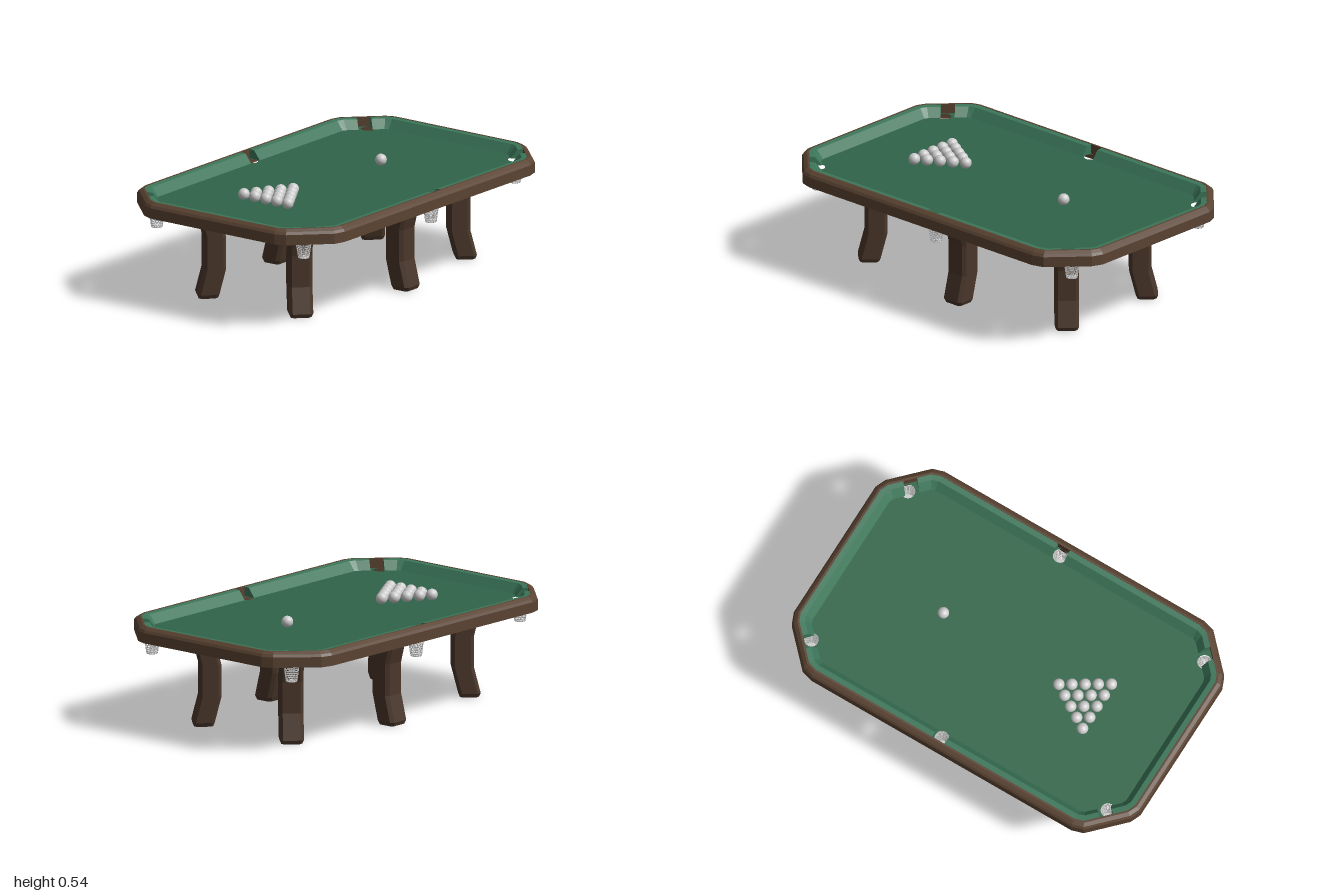
import * as THREE from 'three';
import { mergeGeometries } from 'three/addons/utils/BufferGeometryUtils.js';

const mat = (color, side = THREE.FrontSide, flatShading = true) =>
  new THREE.MeshStandardMaterial({ color, side, flatShading });
const V = (x, y, z) => new THREE.Vector3(x, y, z);

// Joins closed rings of points with quads; skipped spans are left open
function loft(rings, { skip = [], capEnds = false, extra = [] } = {}) {
  const pos = [];
  const tri = (a, b, c) => [a, b, c].forEach((p) => pos.push(p.x, p.y, p.z));
  const n = rings[0].length;
  for (let i = 0; i < rings.length - 1; i++) {
    for (let j = 0; j < n; j++) {
      if (skip.includes(j)) continue;
      const k = (j + 1) % n;
      const [a, b, c, d] = [rings[i][j], rings[i + 1][j], rings[i + 1][k], rings[i][k]];
      tri(a, b, c);
      tri(a, c, d);
    }
  }
  if (capEnds) {
    const lo = rings[0], hi = rings[rings.length - 1];
    for (let j = 1; j < n - 1; j++) {
      tri(lo[0], lo[j], lo[j + 1]);
      tri(hi[0], hi[j + 1], hi[j]);
    }
  }
  for (const poly of extra) {
    for (let j = 1; j < poly.length - 1; j++) tri(poly[0], poly[j], poly[j + 1]);
  }
  const g = new THREE.BufferGeometry();
  g.setAttribute('position', new THREE.Float32BufferAttribute(pos, 3));
  g.computeVertexNormals();
  return g;
}

// Table outline: one corner outside and at the cushion nose
const DEPTH = 0.095, MID = 0.04, HALF = 0.035;
const OUTER = [[1, 0.385], [0.977, 0.44], [0.81, 0.612], [0.75, 0.63]];
const INNER = [[0.905, 0.365], [0.895, 0.385], [0.765, 0.52], [0.745, 0.53]];
const NOTCHES = [2, 6, 10, 16, 20, 24];

// Ring of 28 points around the table, with extra points beside each pocket
function ring(inset, y) {
  const t = inset / DEPTH;
  const c = OUTER.map(([x, z], i) =>
    new THREE.Vector2(x, z).lerp(new THREE.Vector2(...INNER[i]), t));
  const f = HALF / c[1].distanceTo(c[2]);
  const corner = [c[0], c[1], c[1].clone().lerp(c[2], 0.5 - f), c[1].clone().lerp(c[2], 0.5 + f), c[2], c[3]];
  const quarter = (sx, sz) => {
    const q = corner.map((p) => V(sx * p.x, y, sz * p.y));
    return sx * sz > 0 ? q : q.reverse();
  };
  const z = c[3].y;
  return [
    ...quarter(1, 1), V(MID + HALF, y, z), V(MID - HALF, y, z),
    ...quarter(-1, 1), ...quarter(-1, -1),
    V(MID - HALF, y, -z), V(MID + HALF, y, -z), ...quarter(1, -1),
  ];
}

// Curved leg: chamfered square section that bows inward at mid height
function legGeometry() {
  const w = 0.06, d = 0.055, b = 0.016;
  const section = [[w, -d + b], [w, d - b], [w - b, d], [-w + b, d],
    [-w, d - b], [-w, -d + b], [-w + b, -d], [w - b, -d]];
  const levels = [[0, 0, 0.86], [0.02, 0, 1], [0.15, -0.033, 1], [0.31, -0.033, 1], [0.44, 0, 1]];
  const rings = levels.map(([y, bow, s]) => section.map(([x, z]) => V(x * s, y, z * s + bow)));
  return loft(rings, { capEnds: true });
}

// Tapered pocket net: hoops joined by staggered cords, with a closed bottom
function netGeometry() {
  const rows = 8, cords = 14, top = 0.455, bottom = 0.37;
  const radius = (t) => 0.039 - 0.012 * t;
  const height = (t) => top + (bottom - top) * t;
  const parts = [];
  for (let i = 0; i <= rows; i++) {
    const t = i / rows;
    parts.push(new THREE.TorusGeometry(radius(t), i ? 0.002 : 0.003, 4, 28)
      .rotateX(Math.PI / 2).translate(0, height(t), 0));
    if (i === rows) break;
    const u = (i + 1) / rows;
    for (let j = 0; j < cords; j++) {
      const a = ((j + (i % 2) / 2) / cords) * Math.PI * 2;
      const at = (s) => V(radius(s) * Math.cos(a), height(s), radius(s) * Math.sin(a));
      parts.push(new THREE.TubeGeometry(new THREE.LineCurve3(at(t), at(u)), 1, 0.002, 4));
    }
  }
  parts.push(new THREE.CylinderGeometry(0.026, 0.026, 0.003, 20).translate(0, bottom + 0.0015, 0));
  return mergeGeometries(parts);
}

export function createModel() {
  const model = new THREE.Group();
  const add = (name, geometry, material, x = 0, y = 0, z = 0, ry = 0) => {
    const m = new THREE.Mesh(geometry, material);
    m.name = name;
    m.position.set(x, y, z);
    m.rotation.y = ry;
    model.add(m);
    return m;
  };
  const wood = mat(0x5a4332);
  const legWood = mat(0x493629);
  const felt = mat(0x2f6549, THREE.DoubleSide);
  const cushionFelt = mat(0x3c7659, THREE.DoubleSide);
  const grey = mat(0xcccccc, THREE.FrontSide, false);

  const pockets = [];
  for (const s of [-1, 1]) {
    pockets.push([-0.855, s * 0.455], [MID, s * 0.558], [0.855, s * 0.455]);
  }

  // Wooden rail
  const rail = [[0, 0.455], [0, 0.507], [0.008, 0.52], [0.025, 0.532], [0.035, 0.532], [0.035, 0.455], [0, 0.455]];
  add('rail', loft(rail.map(([i, y]) => ring(i, y))), wood);

  // Sloped cushions, open at the pockets and closed at their ends
  const cushion = [[0.035, 0.531], [0.062, 0.529], [DEPTH, 0.484], [0.035, 0.484]]
    .map(([i, y]) => ring(i, y));
  const ends = NOTCHES.flatMap((j) => [j, j + 1]).map((j) => cushion.map((r) => r[j]));
  add('cushions', loft(cushion.slice(0, 3), { skip: NOTCHES, extra: ends }), cushionFelt);

  // Cloth bed with pocket holes
  const bed = new THREE.Shape(ring(0.034, 0).map((p) => new THREE.Vector2(p.x, -p.z)));
  for (const [x, z] of pockets) {
    bed.holes.push(new THREE.Path().absarc(x, -z, 0.036, 0, Math.PI * 2, true));
  }
  add('bed', new THREE.ShapeGeometry(bed, 12).rotateX(-Math.PI / 2), felt, 0, 0.483, 0);

  // Pocket nets
  const net = netGeometry();
  for (const [x, z] of pockets) add('pocketNet', net, grey, x, 0, z);

  // Legs: one at each corner and one in the middle of each long side
  const leg = legGeometry();
  for (const s of [1, -1]) {
    add('middleLeg', leg, legWood, MID, 0, s * 0.4, s > 0 ? 0 : Math.PI);
    for (const sx of [1, -1]) {
      add('cornerLeg', leg, legWood, sx * 0.665, 0, s * 0.288, Math.atan2(sx, s));
    }
  }

  // Racked balls and the cue ball
  const ball = new THREE.SphereGeometry(0.029, 24, 16);
  for (let row = 0; row < 5; row++) {
    for (let k = 0; k <= row; k++) {
      add('ball', ball, grey, -0.31 - row * 0.055, 0.513, -0.028 + (k - row / 2) * 0.068);
    }
  }
  add('cueBall', ball, grey, 0.37, 0.513, -0.005);
  return model;
}
